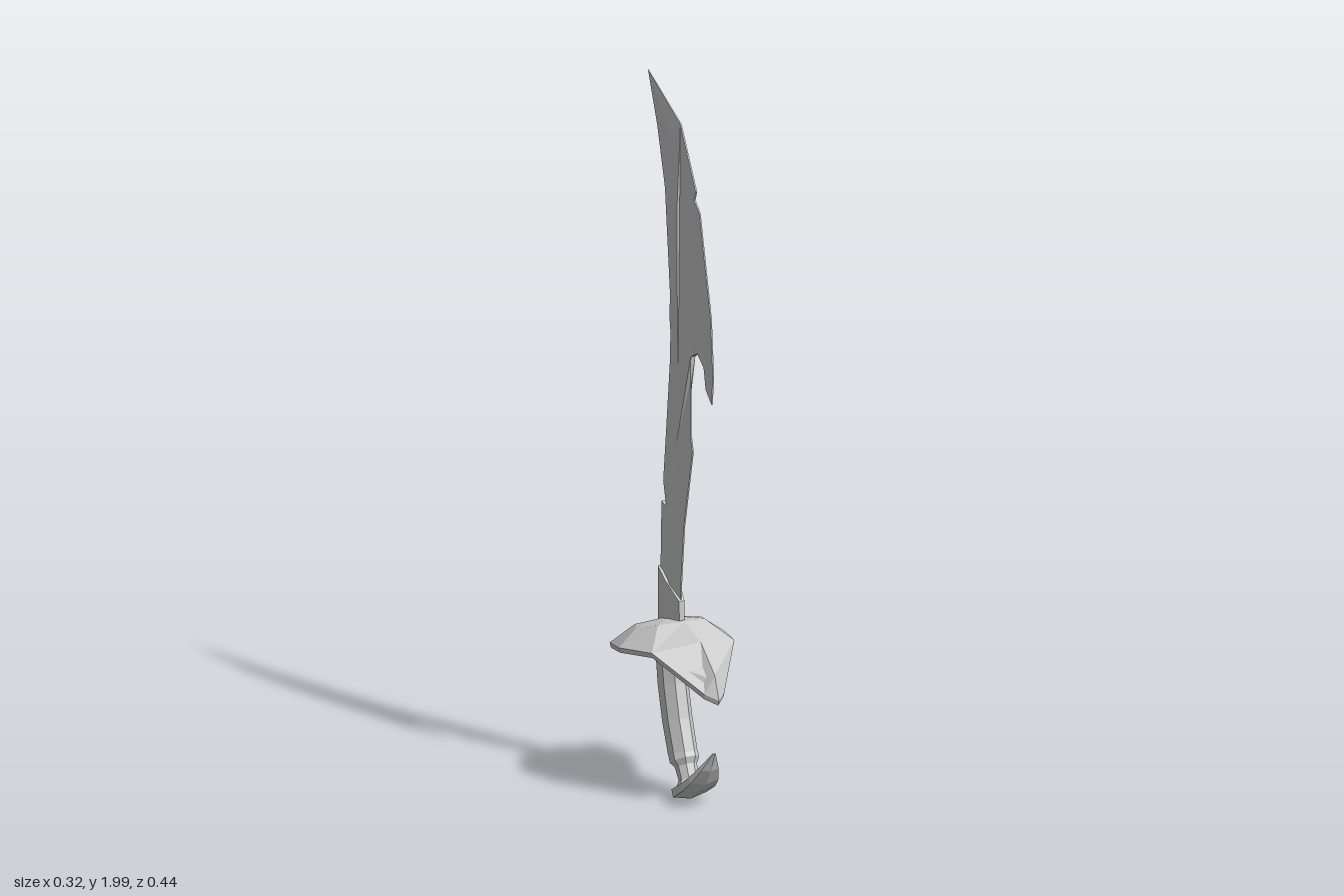
import * as THREE from 'three';

const material = new THREE.MeshStandardMaterial({ color: 0xcccccc, flatShading: true, side: THREE.DoubleSide });

// Flat-shaded mesh from a list of convex polygons, each a loop of [x, y, z]
function polyMesh(name, polys) {
  const pos = [];
  for (const p of polys)
    for (let i = 1; i < p.length - 1; i++) pos.push(...p[0], ...p[i], ...p[i + 1]);
  const g = new THREE.BufferGeometry();
  g.setAttribute('position', new THREE.Float32BufferAttribute(pos, 3));
  g.computeVertexNormals();
  const mesh = new THREE.Mesh(g, material);
  mesh.name = name;
  return mesh;
}

const mirror = (poly) => poly.map(([x, y, z]) => [-x, y, z]).reverse();
const withMirror = (polys) => [...polys, ...polys.map(mirror)];

// Ridged plate in the yz plane. Points are [z, y, half thickness], listed from top to bottom.
function plate(name, front, ridge, back) {
  const first = ridge[0], last = ridge[ridge.length - 1];
  const inner = ridge.slice(1, -1);
  const sides = [];
  for (const edge of [front, back]) {
    const loop = [first, ...edge, last, ...[...inner].reverse()];
    const flat = loop.map(([z, y]) => new THREE.Vector2(y, z));
    for (const tri of THREE.ShapeUtils.triangulateShape(flat, [])) {
      if (THREE.ShapeUtils.area(tri.map((i) => flat[i])) < 0) tri.reverse();
      sides.push(tri.map((i) => [loop[i][2], loop[i][1], loop[i][0]]));
    }
  }
  const outline = [first, ...front, last, ...[...back].reverse()];
  if (THREE.ShapeUtils.area(outline.map(([z, y]) => new THREE.Vector2(y, z))) < 0) outline.reverse();
  const rim = outline.map(([z, y, t], i) => {
    const [z2, y2, t2] = outline[(i + 1) % outline.length];
    return [[-t, y, z], [-t2, y2, z2], [t2, y2, z2], [t, y, z]];
  });
  return polyMesh(name, [...withMirror(sides), ...rim]);
}

// Faceted loft along a path in the yz plane. Stations are [z, y, half width, half depth].
function loft(name, stations, n = 8) {
  const rings = stations.map(([z, y, w, d], i) => {
    const a = stations[Math.max(i - 1, 0)], b = stations[Math.min(i + 1, stations.length - 1)];
    const len = Math.hypot(b[0] - a[0], b[1] - a[1]);
    const tz = (b[0] - a[0]) / len, ty = (b[1] - a[1]) / len;
    return Array.from({ length: n }, (_, j) => {
      const angle = ((j + 0.5) / n) * Math.PI * 2, k = 1 / Math.cos(Math.PI / n);
      const u = Math.cos(angle) * w * k, v = Math.sin(angle) * d * k;
      return [u, y + tz * v, z - ty * v];
    });
  });
  const polys = [[...rings[0]].reverse(), rings[rings.length - 1]];
  for (let i = 0; i < rings.length - 1; i++)
    for (let j = 0; j < n; j++) {
      const k = (j + 1) % n;
      polys.push([rings[i][j], rings[i][k], rings[i + 1][k], rings[i + 1][j]]);
    }
  return polyMesh(name, polys);
}

// Domed hand guard with a pointed tongue drooping at the front
function handGuard() {
  const crown = [0, 0.495, -0.06];
  const inner = [[0, 0.45, -0.155], [0.07, 0.46, -0.135], [0.097, 0.475, -0.07], [0.07, 0.495, 0], [0, 0.502, 0.02]];
  const outer = [[0, 0.39, -0.224], [0.125, 0.405, -0.175], [0.16, 0.43, -0.055], [0.125, 0.445, 0.07], [0, 0.47, 0.115]];
  const brow = [0, 0.40, 0.196], cheek = [0.03, 0.35, 0.195], tip = [0, 0.335, 0.22];
  const top = [];
  for (let i = 0; i < 4; i++) {
    top.push([crown, inner[i + 1], inner[i]]);
    top.push([inner[i], inner[i + 1], outer[i + 1], outer[i]]);
  }
  top.push([outer[3], outer[4], brow, cheek], [cheek, brow, tip]);
  // Underside follows the dome a little lower
  const drop = ([x, y, z]) => [x * 0.98, y - 0.014, z * 0.98];
  const under = top.map((p) => p.map(drop).reverse());
  const edge = [...outer.slice(0, 4), cheek, tip];
  const rim = edge.slice(1).map((q, i) => [edge[i], q, drop(q), drop(edge[i])]);
  return polyMesh('handGuard', withMirror([...top, ...under, ...rim]));
}

export function createModel() {
  const group = new THREE.Group();
  group.name = 'sabre';
  const e = 0.002; // sharp edge
  const s = 0.007; // flat spine

  // Curved blade with a hooked barb on the cutting edge and nicks in the spine
  group.add(plate('blade',
    [[0, 1.9, e], [0.09, 1.735, e], [0.08, 1.71, e], [0.11, 1.68, e], [0.175, 1.4, e], [0.188, 1.24, e],
      [0.18, 1.16, e], [0.15, 1.195, 0.004], [0.142, 1.255, 0.006], [0.108, 1.285, 0.008], [0.07, 1.265, 0.007],
      [0.058, 1.195, e], [0.058, 1.04, e], [0.07, 0.995, e], [0.02, 0.77, e], [0, 0.58, e], [0, 0.48, e]],
    [[-0.19, 2, 0.001], [-0.025, 1.85, 0.011], [0, 1.65, 0.013], [0.005, 1.4, 0.014], [0.01, 1.2, 0.014],
      [0, 1, 0.014], [-0.03, 0.8, 0.014], [-0.05, 0.48, 0.014]],
    [[-0.13, 1.86, 0.004], [-0.08, 1.7, s], [-0.05, 1.4, s], [-0.055, 1.35, s], [-0.048, 1.3, s], [-0.052, 1.21, s],
      [-0.075, 1, s], [-0.09, 0.87, s], [-0.073, 0.8, s], [-0.1, 0.81, s], [-0.106, 0.6, s], [-0.106, 0.48, s]]));

  // Slanted sleeve at the blade root
  group.add(plate('bladeCollar',
    [[0.004, 0.555, 0.008], [0.006, 0.48, 0.008]],
    [[-0.055, 0.602, 0.021], [-0.055, 0.47, 0.021]],
    [[-0.112, 0.624, 0.012], [-0.112, 0.46, 0.012]]));

  group.add(handGuard());

  // Curved octagonal grip
  group.add(loft('grip', [
    [0.01, 0.128, 0.036, 0.042], [-0.022, 0.215, 0.037, 0.043],
    [-0.047, 0.31, 0.037, 0.044], [-0.06, 0.4, 0.037, 0.043], [-0.062, 0.475, 0.036, 0.043]]));

  // Ferrule tapering to a neck that flares into the pommel
  group.add(loft('neck', [
    [0.058, 0.04, 0.044, 0.032], [0.045, 0.065, 0.026, 0.024],
    [0.028, 0.098, 0.028, 0.028], [0.02, 0.112, 0.037, 0.04], [0.01, 0.13, 0.036, 0.041]]));

  // Pommel plate curling forward and up to a point
  group.add(loft('pommelHook', [
    [0.024, 0.02, 0.034, 0.014], [0.045, 0.031, 0.05, 0.019], [0.098, 0.063, 0.05, 0.018],
    [0.13, 0.09, 0.042, 0.016], [0.163, 0.13, 0.026, 0.011], [0.192, 0.178, 0.004, 0.003]], 6));

  return group;
}
